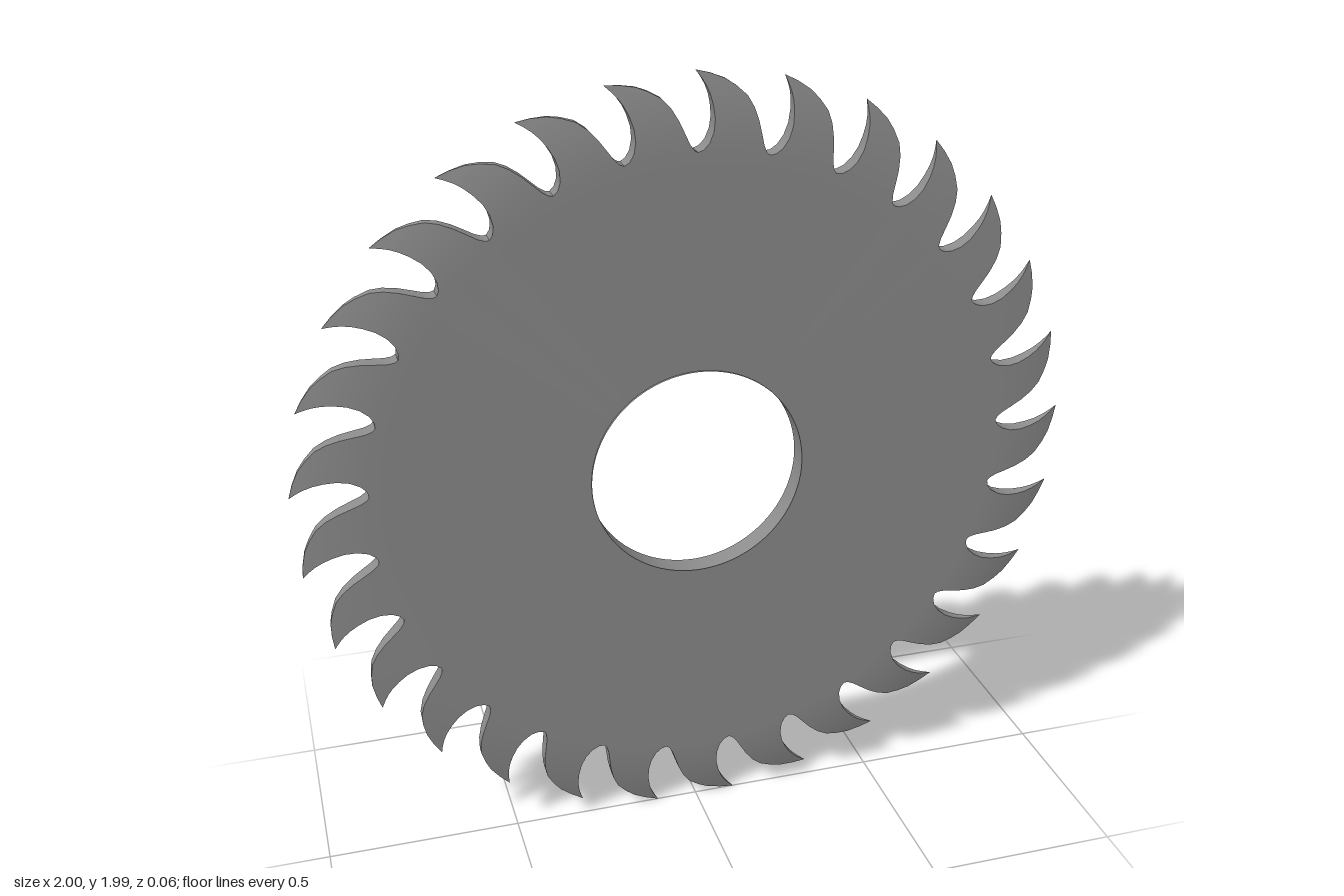
import * as THREE from 'three';
import { toCreasedNormals } from 'three/addons/utils/BufferGeometryUtils.js';

const TEETH = 29, PITCH = 360 / TEETH, SPLIT = 4;
const HOLE = 0.274, BEVEL = 0.8, HALF = 0.023;
const STEEL = 0x8c8c8c;

// One sector from hole to tooth tip: radius, leading edge angle, trailing edge angle (degrees)
const ROWS = [
  [HOLE, 0, PITCH], [0.79, 0, PITCH], [BEVEL, 0, PITCH],
  [0.815, 0, PITCH], [0.82, 0.95, 11.8], [0.835, 1.9, 11.1], [0.86, 2.55, 10.4],
  [0.89, 2.7, 9.6], [0.92, 2.4, 8.6], [0.945, 1.95, 7.4], [0.965, 1.4, 5.7],
  [0.98, 0.85, 4.1], [0.992, 0.35, 2.0], [1, 0, 0.05],
];
const ROOT = 3; // row where the tooth begins

// Half thickness: flat plate, then a curved taper to a thin tip
function halfThickness(r) {
  const t = Math.max(0, (r - BEVEL) / (1 - BEVEL));
  return Math.max(0.0006, HALF * (1 - Math.pow(t, 2.2)));
}

function bladeGeometry() {
  const pos = [];
  const quad = (a, b, c, d) => pos.push(...a, ...b, ...c, ...a, ...c, ...d);
  for (let tooth = 0; tooth < TEETH; tooth++) {
    // Point on row i, fraction j across the sector, on the front (1) or back (-1)
    const point = (i, j, side) => {
      const [r, a0, a1] = ROWS[i];
      const a = THREE.MathUtils.degToRad(tooth * PITCH + a0 + (a1 - a0) * j / SPLIT);
      return [r * Math.sin(a), r * Math.cos(a), side * halfThickness(r)];
    };
    for (let i = 0; i < ROWS.length - 1; i++) {
      // Front and back faces
      for (let j = 0; j < SPLIT; j++) {
        quad(point(i, j, 1), point(i, j + 1, 1), point(i + 1, j + 1, 1), point(i + 1, j, 1));
        quad(point(i, j + 1, -1), point(i, j, -1), point(i + 1, j, -1), point(i + 1, j + 1, -1));
      }
      // Hooked leading edge and curved trailing edge of the tooth
      if (i >= ROOT) {
        quad(point(i, 0, -1), point(i, 0, 1), point(i + 1, 0, 1), point(i + 1, 0, -1));
        quad(point(i, SPLIT, 1), point(i, SPLIT, -1), point(i + 1, SPLIT, -1), point(i + 1, SPLIT, 1));
      }
    }
  }
  const geo = new THREE.BufferGeometry();
  geo.setAttribute('position', new THREE.Float32BufferAttribute(pos, 3));
  return toCreasedNormals(geo, 0.6);
}

export function createModel() {
  const group = new THREE.Group();
  group.name = 'circularSawBlade';

  // Toothed plate
  const blade = new THREE.Mesh(bladeGeometry(), new THREE.MeshStandardMaterial({ color: STEEL }));
  blade.name = 'toothedBlade';
  blade.position.y = 1;
  group.add(blade);

  // Thin sleeve lining the arbor hole, standing slightly proud of the plate
  const sleeve = new THREE.Mesh(
    new THREE.CylinderGeometry(HOLE, HOLE, 0.06, TEETH * SPLIT, 1, true).rotateX(Math.PI / 2),
    new THREE.MeshStandardMaterial({ color: STEEL, side: THREE.DoubleSide }),
  );
  sleeve.name = 'arborSleeve';
  sleeve.position.y = 1;
  group.add(sleeve);

  return group;
}
